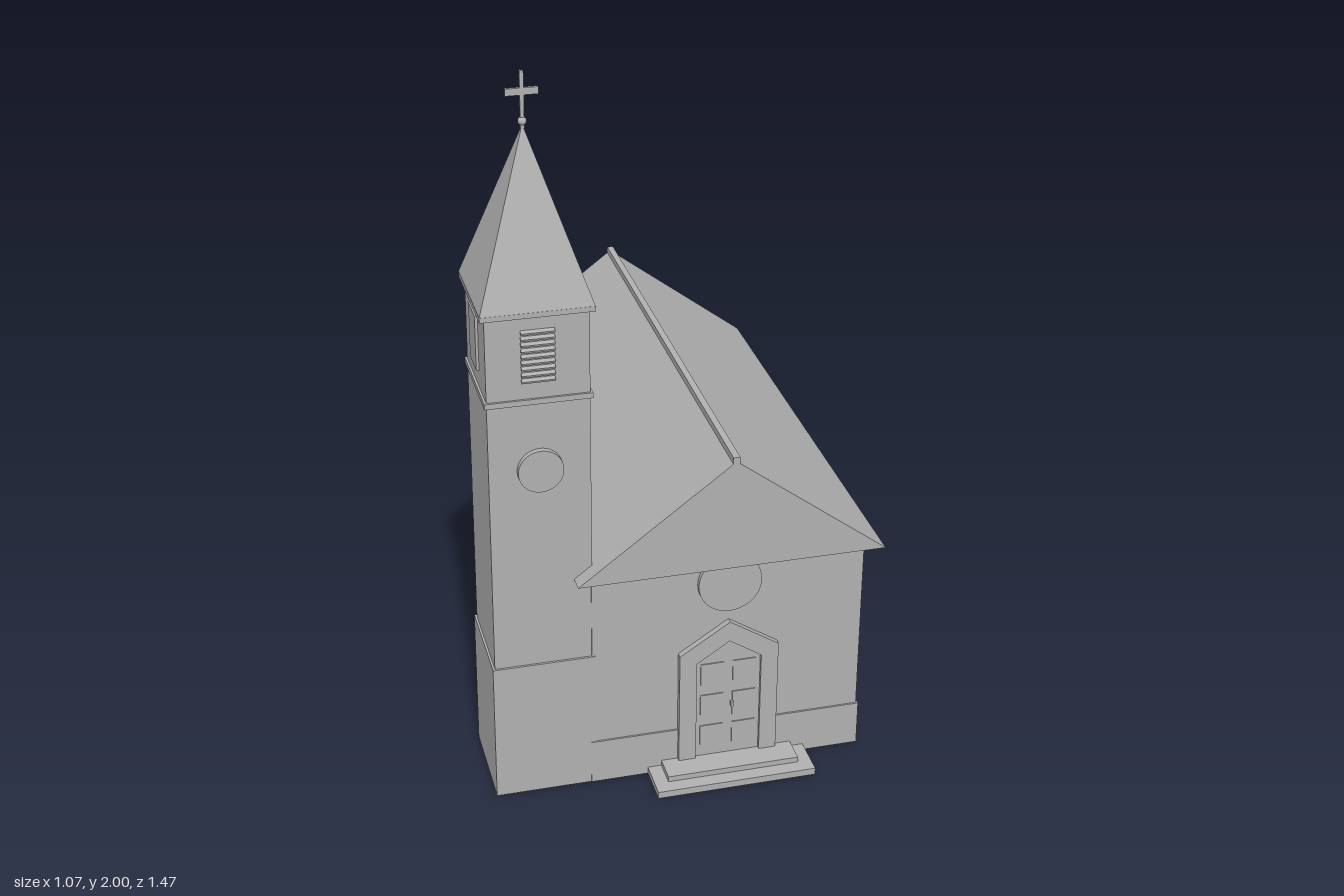
import * as THREE from 'three';

export function createModel() {
  const root = new THREE.Group();
  root.name = 'church';
  const stone = new THREE.MeshStandardMaterial({ color: 0xb0b0b0 });
  stone.name = 'stone grey';

  const add = (name, geo, x = 0, y = 0, z = 0, parent = root) => {
    const m = new THREE.Mesh(geo, stone);
    m.name = name;
    m.position.set(x, y, z);
    parent.add(m);
    return m;
  };
  // box given by its limits on each axis
  const box = (name, x0, x1, y0, y1, z0, z1, parent = root) =>
    add(name, new THREE.BoxGeometry(x1 - x0, y1 - y0, z1 - z0),
      (x0 + x1) / 2, (y0 + y1) / 2, (z0 + z1) / 2, parent);
  const group = (name, x, y, z, turn = 0) => {
    const g = new THREE.Group();
    g.name = name;
    g.position.set(x, y, z);
    g.rotation.y = turn;
    root.add(g);
    return g;
  };
  const polygon = (pts, Type = THREE.Shape) => new Type(pts.map(p => new THREE.Vector2(...p)));
  const extrude = (shape, depth) => new THREE.ExtrudeGeometry(shape, { depth, bevelEnabled: false });
  // pointed outline: half width, bottom, shoulder, apex
  const pointed = (w, y0, ys, ya) => [[-w, y0], [w, y0], [w, ys], [0, ya], [-w, ys]];

  const cx = 0.11, half = 0.375, front = 0.615, back = -0.685;

  // nave
  box('naveWalls', cx - half, cx + half, 0, 0.655, back, front);
  box('navePlinth', cx - half - 0.005, cx + half + 0.005, 0, 0.13, back - 0.005, front + 0.005);
  add('naveRoof', extrude(polygon([[-0.42, 0.65], [0.42, 0.65], [0, 0.968]]), 1.393), cx, 0, -0.735);
  box('ridgeCap', cx - 0.009, cx + 0.009, 0.95, 0.98, -0.735, 0.658);

  // buttresses and windows on both long sides
  for (const s of [1, -1]) {
    const wall = cx + s * half;
    for (const z of [0.32, 0.021, -0.277, -0.536]) {
      const geo = extrude(polygon([[-0.01, 0], [0.045, 0], [0.045, 0.43], [0, 0.5], [-0.01, 0.5]]), 0.044);
      geo.translate(0, 0, -0.022);
      add('buttress', geo, wall, 0, z).rotation.y = s > 0 ? 0 : Math.PI;
    }
    for (const z of [0.17, -0.128, -0.425]) {
      const g = group('naveWindow', wall, 0, z, s * Math.PI / 2);
      const frame = polygon(pointed(0.041, 0.205, 0.415, 0.46));
      frame.holes.push(polygon(pointed(0.033, 0.213, 0.411, 0.449).reverse(), THREE.Path));
      add('windowFrame', extrude(frame, 0.009), 0, 0, 0, g);
      add('windowGlass', extrude(polygon(pointed(0.034, 0.212, 0.411, 0.449)), 0.002), 0, 0, 0, g);
      box('windowMullion', -0.003, 0.003, 0.21, 0.415, 0, 0.007, g);
      for (const y of [0.31, 0.413]) box('windowBar', -0.037, 0.037, y - 0.003, y + 0.003, 0, 0.007, g);
    }
  }

  // entrance
  const door = group('entrance', cx, 0, front);
  const surround = polygon(pointed(0.138, 0, 0.375, 0.465));
  surround.holes.push(polygon(pointed(0.09, 0.035, 0.345, 0.405).reverse(), THREE.Path));
  add('doorSurround', extrude(surround, 0.018), 0, 0, 0, door);
  add('doorLeaf', extrude(polygon(pointed(0.092, 0.03, 0.346, 0.406)), 0.008), 0, 0, 0, door);
  for (const s of [-1, 1]) {
    for (const y of [0.06, 0.16, 0.26]) {
      box('doorPanel', s * 0.045 - 0.032, s * 0.045 + 0.032, y, y + 0.075, 0, 0.011, door);
    }
  }
  box('doorHandle', 0.008, 0.016, 0.19, 0.205, 0, 0.017, door);
  box('lowerStep', cx - 0.222, cx + 0.222, 0, 0.02, 0.6, 0.735);
  box('upperStep', cx - 0.184, cx + 0.184, 0.02, 0.036, 0.6, 0.696);

  // round windows on the front
  const disc = (name, r, x, y) => {
    const g = new THREE.CylinderGeometry(r, r, 0.022, 40);
    g.rotateX(Math.PI / 2);
    add(name, g, x, y, front + 0.002);
  };
  disc('naveRoundWindow', 0.087, cx, 0.585);

  // tower
  const tx = -0.394, tz = 0.48;
  const tower = (name, r, y0, y1) => box(name, tx - r, tx + r, y0, y1, tz - r, tz + r);
  tower('towerShaft', 0.132, 0, 1.425);
  tower('towerBase', 0.138, 0, 0.405);
  tower('towerBand', 0.138, 1.177, 1.192);
  tower('spireCornice', 0.145, 1.418, 1.432);
  disc('towerRoundWindow', 0.059, tx, 0.99);
  const spire = new THREE.CylinderGeometry(0, 0.145 * Math.SQRT2, 0.435, 4).toNonIndexed();
  spire.rotateY(Math.PI / 4);
  spire.computeVertexNormals();
  add('spire', spire, tx, 1.43 + 0.2175, tz);

  // belfry louvres and side panels
  for (let i = 0; i < 9; i++) {
    const slat = add('louvreSlat', new THREE.BoxGeometry(0.086, 0.006, 0.018), tx, 1.245 + i * 0.0165, tz + 0.134);
    slat.rotation.x = 0.35;
  }
  for (const s of [-1, 1]) {
    const x = tx + s * 0.134;
    box('belfryPanel', x - 0.005, x + 0.005, 1.24, 1.39, tz - 0.043, tz + 0.043);
  }

  // finial and cross
  add('finialBall', new THREE.SphereGeometry(0.011, 16, 12), tx, 1.873, tz);
  box('crossPost', tx - 0.005, tx + 0.005, 1.855, 2, tz - 0.004, tz + 0.004);
  box('crossArm', tx - 0.041, tx + 0.041, 1.939, 1.957, tz - 0.004, tz + 0.004);

  return root;
}
